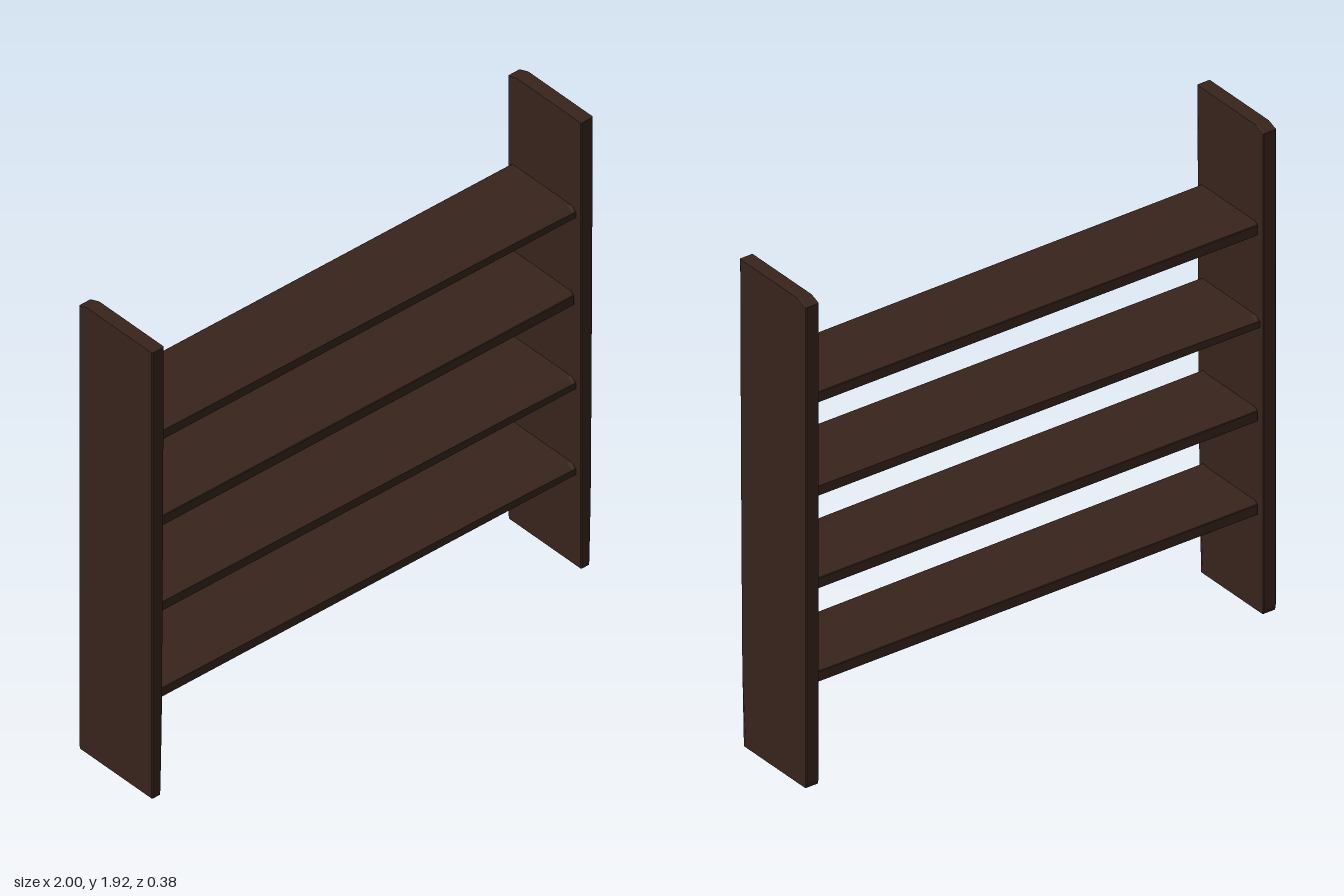
import * as THREE from 'three';

const LENGTH = 1.92, WIDTH = 0.38, THICK = 0.055;

// Stations along the plank: height, wear of the long front edge (width, depth), trim of the back at the end
const STATIONS = [
  [0, 0.025, 0.02, 0.004],
  [0.02, 0.035, 0.018, 0],
  [0.3, 0.07, 0.012, 0],
  [0.7, 0.062, 0.009, 0],
  [1.2, 0.035, 0.006, 0],
  [1.7, 0.01, 0.004, 0],
  [1.905, 0.004, 0.003, 0],
  [LENGTH, 0.004, 0.003, 0.04],
];

// Worn plank: length on y, width on z, thickness on x, base at y = 0
function plankGeometry() {
  const c = 0.003, h = THICK / 2, d = WIDTH / 2;
  const rings = STATIONS.map(([y, wear, depth, trim]) => [
    [h, d - wear], [h - depth, d],
    [-h + c, d], [-h, d - c],
    [-h, -d + c + trim], [-h + c, -d + trim],
    [h - c, -d + trim], [h, -d + c + trim],
  ].map(([x, z]) => new THREE.Vector3(x, y, z)));

  const pos = [];
  const tri = (...pts) => pts.forEach((p) => pos.push(p.x, p.y, p.z));
  const n = rings[0].length;
  for (let k = 0; k < rings.length - 1; k++) {
    const a = rings[k], b = rings[k + 1];
    for (let i = 0; i < n; i++) {
      const j = (i + 1) % n;
      tri(a[i], b[j], b[i]);
      tri(a[i], a[j], b[j]);
    }
  }
  // End caps; the section runs clockwise seen from above
  const low = rings[0], top = rings[rings.length - 1];
  for (let i = 1; i < n - 1; i++) {
    tri(low[0], low[i + 1], low[i]);
    tri(top[0], top[i], top[i + 1]);
  }
  const g = new THREE.BufferGeometry();
  g.setAttribute('position', new THREE.Float32BufferAttribute(pos, 3));
  g.computeVertexNormals();
  return g;
}

export function createModel() {
  const model = new THREE.Group();
  model.name = 'shelfRack';
  const wood = new THREE.MeshStandardMaterial({ color: 0x38241c, flatShading: true, side: THREE.DoubleSide });
  const post = plankGeometry();

  // Upright side boards
  for (const [name, x] of [['leftSideBoard', 1], ['rightSideBoard', -1]]) {
    const mesh = new THREE.Mesh(post, wood);
    mesh.name = name;
    mesh.position.x = x * (1 - THICK / 2);
    model.add(mesh);
  }

  // Shelves: the same plank, narrower and laid flat between the boards
  const shelf = plankGeometry();
  shelf.translate(0, -LENGTH / 2, 0);
  shelf.scale(0.042 / THICK, 1.9 / LENGTH, 0.333 / WIDTH);
  shelf.rotateZ(Math.PI / 2);
  [0.41, 0.78, 1.147, 1.517].forEach((y, i) => {
    const mesh = new THREE.Mesh(shelf, wood);
    mesh.name = `shelf${i + 1}`;
    mesh.position.set(0, y, -0.003);
    if (i === 2) mesh.rotation.y = Math.PI; // worn edge to the back
    model.add(mesh);
  });
  return model;
}
